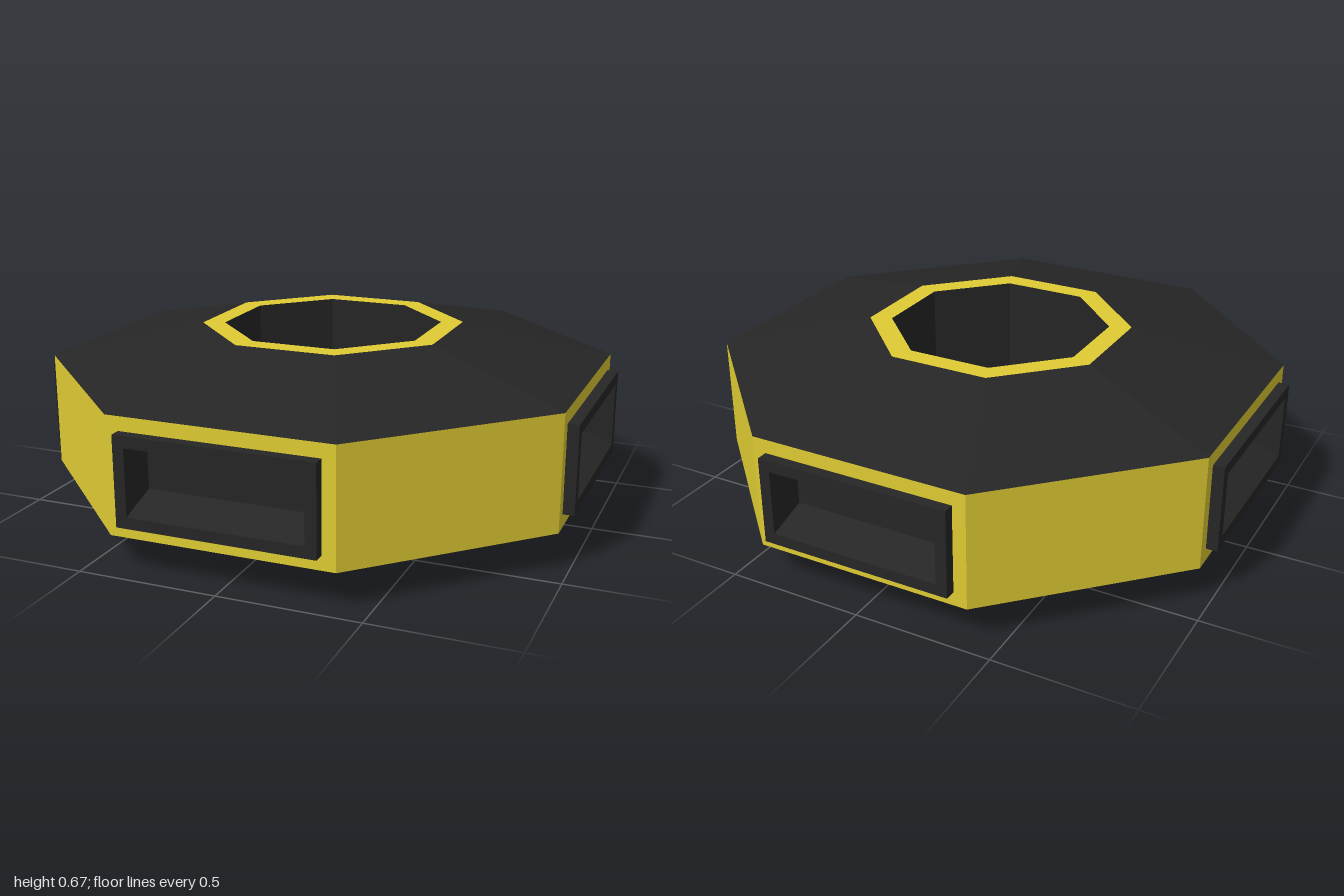
import * as THREE from 'three';

const SIDES = 8;
const CORNER = Math.cos(Math.PI / SIDES); // apothem / corner radius
const APOTHEM = 0.96, HALF_SIDE = APOTHEM * Math.tan(Math.PI / SIDES);
const BAND_LOW = 0.13, BAND_HIGH = 0.545, HEIGHT = 0.67;
const RING_OUTER = 0.445, RING_INNER = 0.37;

const black = new THREE.MeshStandardMaterial({ color: 0x262626, flatShading: true });
const yellow = new THREE.MeshStandardMaterial({ color: 0xe0cc33, flatShading: true });

function add(parent, name, geometry, material) {
  const mesh = new THREE.Mesh(geometry, material);
  mesh.name = name;
  parent.add(mesh);
  return mesh;
}

// Octagonal surface through [apothem, y] points, flats facing the axes
function octagon(points) {
  const profile = points.map(([a, y]) => new THREE.Vector2(a / CORNER, y));
  const geometry = new THREE.LatheGeometry(profile, SIDES, Math.PI / SIDES).toNonIndexed();
  geometry.computeVertexNormals();
  return geometry;
}

function rectangle(path, hx, y0, y1) {
  path.moveTo(-hx, y0);
  path.lineTo(hx, y0);
  path.lineTo(hx, y1);
  path.lineTo(-hx, y1);
  path.closePath();
  return path;
}

// Joins rectangular sections [halfWidth, y0, y1, z] and caps the last one
function rectangularLoft(sections) {
  const positions = [], index = [];
  for (const [hx, y0, y1, z] of sections) {
    positions.push(-hx, y0, z, hx, y0, z, hx, y1, z, -hx, y1, z);
  }
  for (let i = 0; i < sections.length - 1; i++) {
    for (let k = 0; k < 4; k++) {
      const a = i * 4 + k, b = i * 4 + (k + 1) % 4;
      index.push(a, b, b + 4, a, b + 4, a + 4);
    }
  }
  const cap = (sections.length - 1) * 4;
  index.push(cap, cap + 1, cap + 2, cap, cap + 2, cap + 3);
  const indexed = new THREE.BufferGeometry();
  indexed.setAttribute('position', new THREE.Float32BufferAttribute(positions, 3));
  indexed.setIndex(index);
  const geometry = indexed.toNonIndexed();
  geometry.computeVertexNormals();
  return geometry;
}

export function createModel() {
  const model = new THREE.Group();
  model.name = 'octagonalHub';

  // Sloping shells, flat rims and the central shaft
  add(model, 'upperShell', octagon([[APOTHEM, BAND_HIGH], [RING_OUTER, HEIGHT]]), black);
  add(model, 'lowerShell', octagon([[RING_OUTER, 0], [APOTHEM, BAND_LOW]]), black);
  add(model, 'upperRim', octagon([[RING_OUTER, HEIGHT], [RING_INNER, HEIGHT]]), yellow);
  add(model, 'lowerRim', octagon([[RING_INNER, 0], [RING_OUTER, 0]]), yellow);
  add(model, 'shaftWall', octagon([[RING_INNER, HEIGHT], [RING_INNER, 0]]), black);

  // Raised frame with a tapering recess
  const bayGeometry = rectangularLoft([
    [0.35, 0.18, 0.495, APOTHEM],
    [0.35, 0.18, 0.495, 1.0],
    [0.31, 0.22, 0.455, 1.0],
    [0.30, 0.275, 0.405, 0.87],
  ]);

  // Side walls: every other one is cut open for a bay
  for (let i = 0; i < SIDES; i++) {
    const side = new THREE.Group();
    side.name = `side${i + 1}`;
    side.rotation.y = (i * 2 * Math.PI) / SIDES;
    const shape = rectangle(new THREE.Shape(), HALF_SIDE, BAND_LOW, BAND_HIGH);
    if (i % 2 === 0) {
      shape.holes.push(rectangle(new THREE.Path(), 0.34, 0.19, 0.485));
      add(side, 'recessedBay', bayGeometry, black);
    }
    add(side, 'sideWall', new THREE.ShapeGeometry(shape).translate(0, 0, APOTHEM), yellow);
    model.add(side);
  }
  return model;
}
